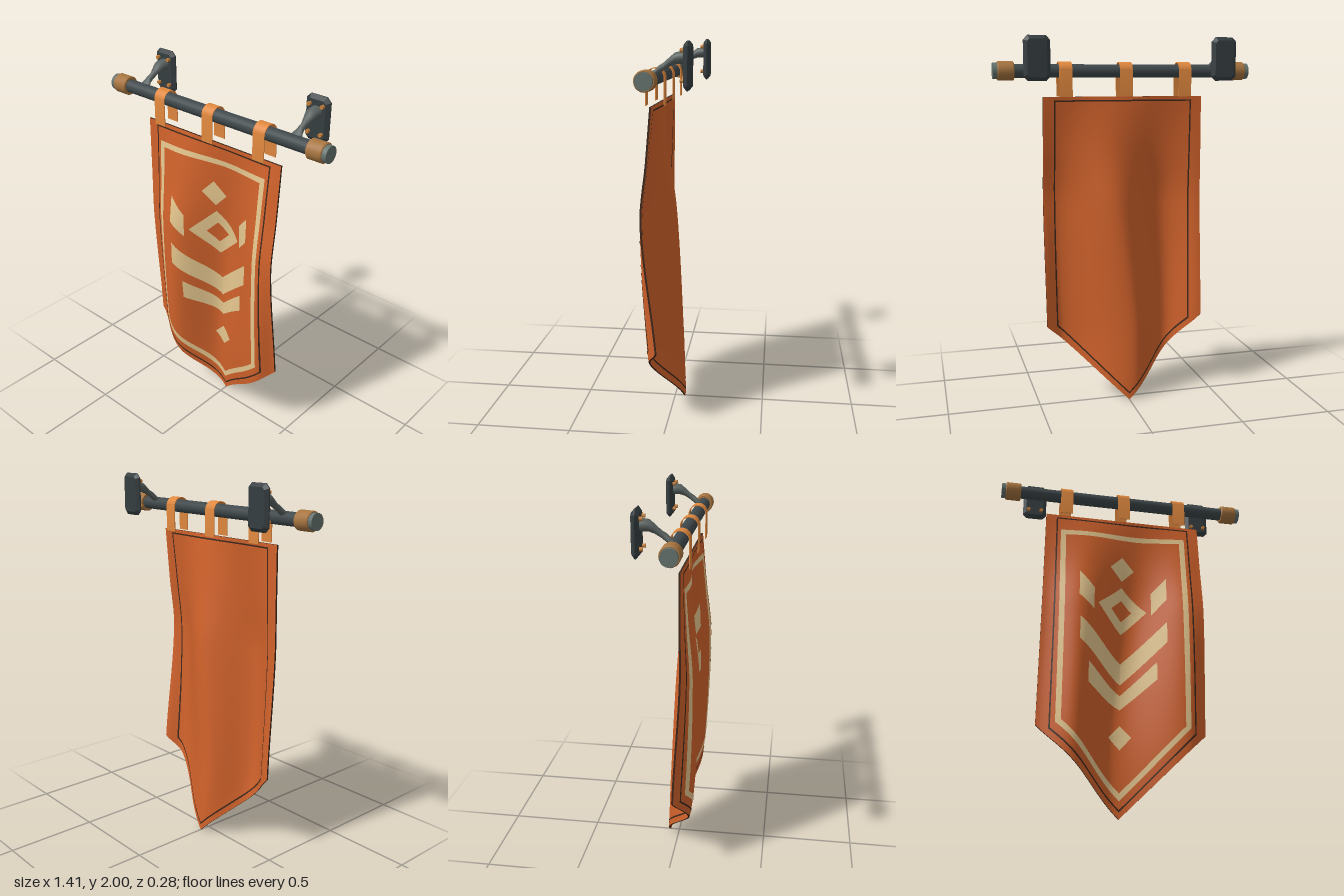
import * as THREE from 'three';
import { mergeGeometries, mergeVertices, toCreasedNormals } from 'three/addons/utils/BufferGeometryUtils.js';

const mat = (name, color, side = THREE.FrontSide) => {
  const m = new THREE.MeshStandardMaterial({ color, side });
  m.name = name;
  return m;
};

// Cloth folds: each ridge or valley (column) drifts in x and z with height (row)
const foldY = [0, 0.42, 1.1, 1.4, 1.69];
const foldX = [
  [-0.45, -0.24, -0.02, 0.34, 0.45],
  [-0.45, -0.26, -0.03, 0.35, 0.45],
  [-0.45, -0.24, 0.05, 0.37, 0.45],
  [-0.45, -0.22, 0.08, 0.37, 0.45],
  [-0.45, -0.2, 0.1, 0.37, 0.45],
];
const foldZ = [
  [0.03, 0.04, -0.055, 0.05, 0.03],
  [0.025, 0.112, -0.038, 0.1, 0.045],
  [0.065, 0.132, -0.01, 0.128, 0.118],
  [0.065, 0.1, 0.028, 0.098, 0.09],
  [0.065, 0.065, 0.065, 0.065, 0.065],
];

function hermite(xs, ys, x) {
  let i = 0;
  while (i < xs.length - 2 && x > xs[i + 1]) i++;
  const slope = (k) => {
    const a = Math.max(k - 1, 0), b = Math.min(k + 1, xs.length - 1);
    return (ys[b] - ys[a]) / (xs[b] - xs[a]);
  };
  const h = xs[i + 1] - xs[i], t = (x - xs[i]) / h, t2 = t * t, t3 = t2 * t;
  return (2 * t3 - 3 * t2 + 1) * ys[i] + (t3 - 2 * t2 + t) * h * slope(i)
    + (3 * t2 - 2 * t3) * ys[i + 1] + (t3 - t2) * h * slope(i + 1);
}

function clothZ(x, y) {
  const at = (table, c) => hermite(foldY, table.map((row) => row[c]), y);
  let i = 0;
  while (i < 3 && x > at(foldX, i + 1)) i++;
  const t = THREE.MathUtils.smoothstep(x, at(foldX, i), at(foldX, i + 1));
  return at(foldZ, i) * (1 - t) + at(foldZ, i + 1) * t;
}

// Grid surface from a rule f(u, v) -> [x, y, z]
function surface(f, nu, nv, flip = false) {
  const pos = [], idx = [];
  for (let j = 0; j <= nv; j++) for (let i = 0; i <= nu; i++) pos.push(...f(i / nu, j / nv));
  for (let j = 0; j < nv; j++) for (let i = 0; i < nu; i++) {
    const a = j * (nu + 1) + i, b = a + 1, c = a + nu + 1, d = c + 1;
    idx.push(...(flip ? [a, c, b, b, c, d] : [a, b, c, b, d, c]));
  }
  const g = new THREE.BufferGeometry();
  g.setAttribute('position', new THREE.Float32BufferAttribute(pos, 3));
  g.setIndex(idx);
  return g;
}

// Lays flat quads [a, b, c, d] onto the cloth, on its front or back
function drape(quads, offset) {
  const parts = quads.map(([a, b, c, d]) => {
    const area = (c[0] - a[0]) * (d[1] - b[1]) - (d[0] - b[0]) * (c[1] - a[1]);
    const len = (p, q) => Math.hypot(p[0] - q[0], p[1] - q[1]);
    const segs = (l) => Math.max(1, Math.ceil(l / 0.02));
    const f = (u, v) => {
      const mix = (k) => (a[k] * (1 - u) + b[k] * u) * (1 - v) + (d[k] * (1 - u) + c[k] * u) * v;
      const x = mix(0), y = mix(1);
      return [x, y, clothZ(x, y) + offset];
    };
    return surface(f, segs(Math.max(len(a, b), len(c, d))), segs(Math.max(len(a, d), len(b, c))),
      (area > 0) !== (offset > 0));
  });
  const g = mergeVertices(mergeGeometries(parts), 1e-4);
  g.computeVertexNormals();
  return g;
}

// Quads between two matching closed outlines
const band = (outer, inner) => outer.map((p, i) => {
  const j = (i + 1) % outer.length;
  return [p, outer[j], inner[j], inner[i]];
});
const diamond = (y, w, h) => [[0, y + h], [w, y], [0, y - h], [-w, y]];
const pennant = (w, top, corner, tip) => [[-w, top], [w, top], [w, corner], [0, tip], [-w, corner]];

export function createModel() {
  const root = new THREE.Group();
  const cloth = mat('orange cloth', 0xd1622b);
  const cream = mat('cream paint', 0xe8c990);
  const seam = mat('dark stitching', 0x40291c, THREE.DoubleSide);
  const strapMat = mat('light orange strap', 0xe0883e);
  const iron = mat('dark iron', 0x3f484b);
  const plateMat = mat('black iron plate', 0x353d40);
  const steel = mat('grey steel', 0x596260);
  const endMat = mat('rod end grey', 0x65736f);
  const brass = mat('brown brass', 0xa6743f);
  const copper = mat('copper bolt', 0xc47f3a);
  const add = (parent, name, geo, material, x = 0, y = 0, z = 0) => {
    const m = new THREE.Mesh(geo, material);
    m.name = name;
    m.position.set(x, y, z);
    parent.add(m);
    return m;
  };

  // Banner cloth
  const banner = new THREE.Group();
  banner.name = 'banner';
  root.add(banner);
  const T = 0.005;
  const rim = [[-0.442, 1.69], [0.442, 1.69], [0.444, 0.43], [0, 0], [-0.447, 0.445]];
  const halves = [[rim[0], [0, 1.69], rim[3], rim[4]], [[0, 1.69], rim[1], rim[2], rim[3]]];
  add(banner, 'clothFront', drape(halves, T), cloth);
  add(banner, 'clothBack', drape(halves, -T), cloth);

  // Raw edge closing the cloth
  const edges = rim.map((p, i) => {
    const q = rim[(i + 1) % rim.length];
    return surface((u, v) => {
      const x = p[0] + (q[0] - p[0]) * u, y = p[1] + (q[1] - p[1]) * u;
      return [x, y, clothZ(x, y) + T * (1 - 2 * v)];
    }, 50, 1);
  });
  const edgeGeo = mergeGeometries(edges);
  edgeGeo.computeVertexNormals();
  add(banner, 'clothEdge', edgeGeo, seam);

  // Hem stitching on both faces
  const hem = band(pennant(0.383, 1.672, 0.42, 0.035), pennant(0.375, 1.664, 0.424, 0.046));
  add(banner, 'hemStitchFront', drape(hem, T + 0.002), seam);
  add(banner, 'hemStitchBack', drape(hem, -T - 0.002), seam);

  // Painted frame and geometric pattern
  const chevron = (w, yl, yr, mid, hl, hr, hm) => [
    [[-w, yl], [0, mid], [0, mid - hm], [-w, yl - hl]],
    [[0, mid], [w, yr], [w, yr - hr], [0, mid - hm]],
  ];
  const outer = [[-0.357, 1.59], [0.357, 1.6], [0.352, 0.45], [0, 0.09], [-0.352, 0.45]];
  const inner = [[-0.327, 1.56], [0.327, 1.57], [0.325, 0.46], [0, 0.13], [-0.325, 0.46]];
  const pattern = [
    ...band(outer, inner),
    diamond(1.385, 0.07, 0.073),
    ...band(diamond(1.137, 0.142, 0.138), diamond(1.137, 0.06, 0.062)),
    [[-0.25, 1.315], [-0.165, 1.22], [-0.165, 1.09], [-0.25, 1.16]],
    [[0.245, 1.335], [0.245, 1.2], [0.165, 1.115], [0.165, 1.25]],
    ...chevron(0.243, 1.03, 1.06, 0.83, 0.13, 0.12, 0.12),
    ...chevron(0.19, 0.785, 0.83, 0.65, 0.115, 0.1, 0.08),
    diamond(0.418, 0.06, 0.065),
  ];
  add(banner, 'paintedPattern', drape(pattern, T + 0.003), cream);

  // Rod with end collars
  const rodY = 1.825, rodZ = 0.055;
  const rodGeo = new THREE.CylinderGeometry(0.035, 0.035, 1.36, 20).rotateZ(Math.PI / 2);
  add(root, 'rod', rodGeo, iron, 0, rodY, rodZ);
  const collarPts = [[0.034, -0.043], [0.046, -0.043], [0.05, -0.038], [0.05, 0.038], [0.046, 0.043], [0.034, 0.043]]
    .map((p) => new THREE.Vector2(...p));
  for (const s of [-1, 1]) {
    const collar = toCreasedNormals(new THREE.LatheGeometry(collarPts, 20), 0.5).rotateZ(-s * Math.PI / 2);
    add(root, 'rodCollar', collar, brass, s * 0.637, rodY, rodZ);
    const end = new THREE.CylinderGeometry(0.042, 0.042, 0.03, 20).rotateZ(Math.PI / 2);
    add(root, 'rodEnd', end, endMat, s * 0.688, rodY, rodZ);
  }

  // Hanging straps looped over the rod
  const R = 0.048, r = 0.044, drop = -0.135;
  const loop = new THREE.Shape();
  loop.moveTo(R, drop).lineTo(R, 0).absarc(0, 0, R, 0, Math.PI, false).lineTo(-R, drop).lineTo(-r, drop);
  loop.lineTo(-r, 0).absarc(0, 0, r, Math.PI, 0, true).lineTo(r, drop);
  const strapGeo = toCreasedNormals(
    new THREE.ExtrudeGeometry(loop, { depth: 0.07, bevelEnabled: false, curveSegments: 16 }), 0.6)
    .rotateY(-Math.PI / 2).translate(0.035, 0, 0);
  for (const x of [-0.33, 0, 0.327]) add(root, 'strap', strapGeo, strapMat, x, rodY, rodZ);

  // Wall brackets: bevelled plate with cut corners, tapered arm, bolts
  const w = 0.05, h = 0.095, c = 0.012;
  const plate = new THREE.Shape([[-w + c, -h], [w - c, -h], [w, -h + c], [w, h - c],
    [w - c, h], [-w + c, h], [-w, h - c], [-w, -h + c]].map((p) => new THREE.Vector2(...p)));
  const plateGeo = new THREE.ExtrudeGeometry(plate,
    { depth: 0.006, bevelSize: 0.018, bevelThickness: 0.015, bevelSegments: 1 });
  // Arm sections: z, y, half width, half height
  const arm = [[-0.106, 1.925, 0.034, 0.03], [-0.065, 1.922, 0.033, 0.028], [-0.04, 1.908, 0.024, 0.022],
    [-0.01, 1.885, 0.014, 0.018], [0.015, 1.868, 0.018, 0.02], [0.035, 1.85, 0.03, 0.018], [0.055, 1.84, 0.026, 0.014]];
  const armGeo = mergeVertices(surface((u, v) => {
    const [z, y, a, b] = arm[Math.round(v * (arm.length - 1))];
    const t = u * Math.PI * 2;
    return [a * Math.cos(t), y + b * Math.sin(t), z];
  }, 14, arm.length - 1), 1e-5);
  armGeo.computeVertexNormals();
  const boltGeo = new THREE.CylinderGeometry(0.01, 0.01, 0.018, 10).rotateX(Math.PI / 2);
  for (const s of [-1, 1]) {
    const bracket = new THREE.Group();
    bracket.name = 'wallBracket';
    bracket.position.x = s * 0.498;
    root.add(bracket);
    add(bracket, 'wallPlate', plateGeo, plateMat, 0, 1.887, -0.126);
    add(bracket, 'bracketArm', armGeo, steel);
    for (const x of [-0.037, 0.037]) for (const y of [1.82, 1.958]) add(bracket, 'bolt', boltGeo, copper, x, y, -0.098);
  }
  return root;
}
